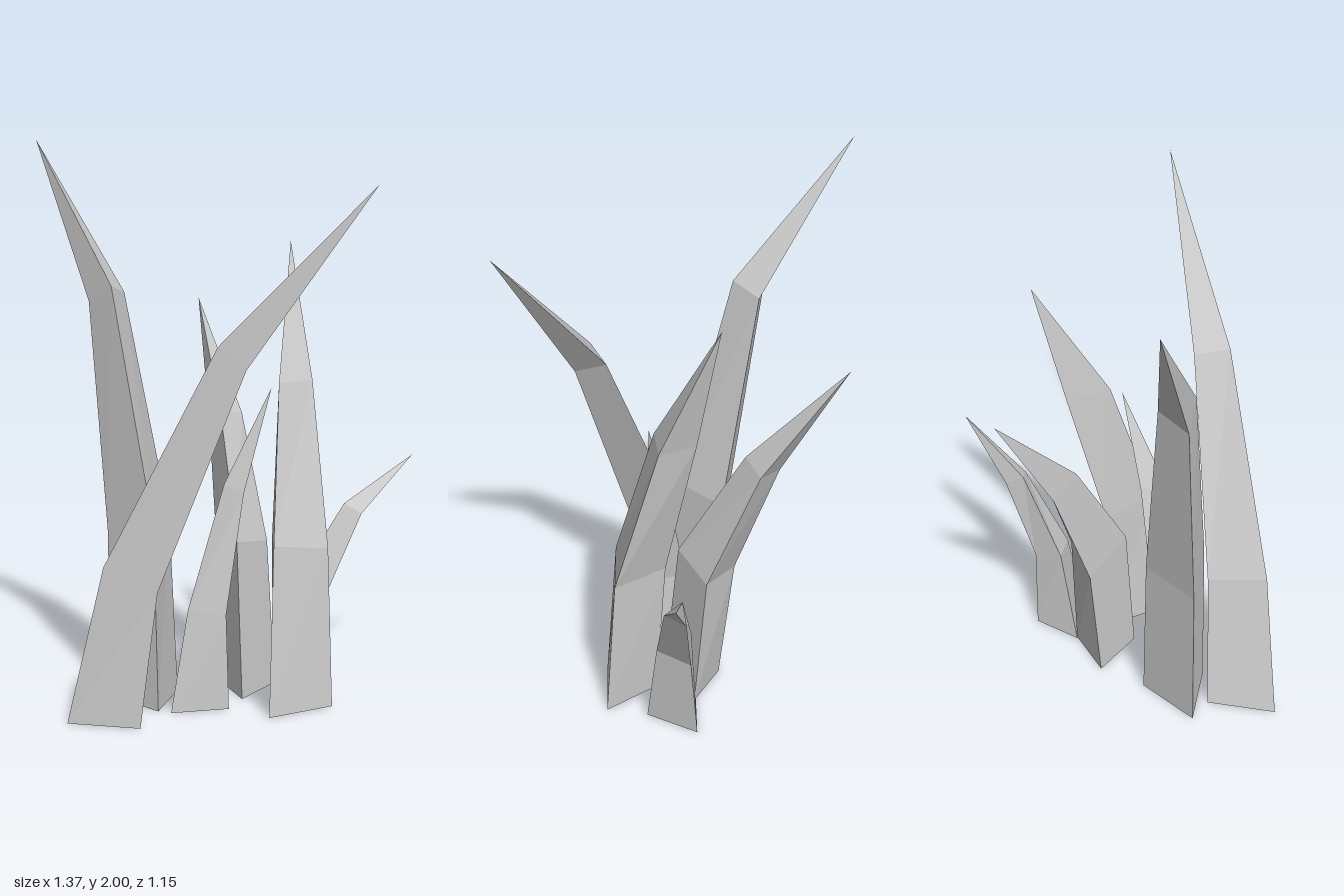
import * as THREE from 'three';

// Each blade: three rings of three corners [x, y, z], going upwards, then the tip.
const BLADES = {
  tallLeftBlade: {
    rings: [
      [[-0.49, 0, -0.06], [-0.355, 0, 0.14], [-0.24, 0, -0.07]],
      [[-0.49, 0.62, -0.08], [-0.36, 0.66, 0.11], [-0.262, 0.64, -0.09]],
      [[-0.53, 1.43, -0.18], [-0.466, 1.49, -0.08], [-0.4, 1.46, -0.19]],
    ],
    tip: [-0.67, 2, -0.47],
  },
  frontLeaningBlade: {
    rings: [
      [[-0.685, 0, 0.185], [-0.45, 0, 0.3], [-0.474, 0, 0.04]],
      [[-0.56, 0.56, 0.235], [-0.388, 0.48, 0.31], [-0.38, 0.52, 0.115]],
      [[-0.195, 1.32, 0.39], [-0.106, 1.245, 0.425], [-0.1, 1.29, 0.305]],
    ],
    tip: [0.295, 1.85, 0.575],
  },
  backBlade: {
    rings: [
      [[-0.063, 0, -0.125], [-0.035, 0, 0.085], [0.13, 0, -0.07]],
      [[-0.065, 0.51, -0.18], [-0.04, 0.57, 0.03], [0.11, 0.535, -0.11]],
      [[-0.055, 0.965, -0.34], [-0.04, 1.01, -0.217], [0.06, 0.99, -0.29]],
    ],
    tip: [-0.04, 1.4, -0.575],
  },
  uprightBlade: {
    rings: [
      [[0.007, 0, 0.305], [0.257, 0, 0.24], [0.08, 0, 0.09]],
      [[0.037, 0.6, 0.25], [0.25, 0.57, 0.2], [0.085, 0.57, 0.05]],
      [[0.1, 1.15, 0.085], [0.238, 1.15, 0.035], [0.15, 1.15, -0.08]],
    ],
    tip: [0.215, 1.635, -0.175],
  },
  smallMiddleBlade: {
    rings: [
      [[-0.315, 0, 0.17], [-0.107, 0, 0.177], [-0.21, 0, -0.01]],
      [[-0.25, 0.37, 0.162], [-0.115, 0.345, 0.172], [-0.176, 0.36, 0.035]],
      [[-0.116, 0.81, 0.15], [-0.045, 0.77, 0.148], [-0.07, 0.79, 0.075]],
    ],
    tip: [0.066, 1.14, 0.112],
  },
  shortRightBlade: {
    rings: [
      [[0.125, 0, -0.075], [0.25, 0, 0.085], [0.307, 0, -0.12]],
      [[0.21, 0.38, -0.075], [0.29, 0.345, 0.037], [0.328, 0.33, -0.1]],
      [[0.4, 0.665, -0.085], [0.45, 0.635, -0.03], [0.47, 0.615, -0.115]],
    ],
    tip: [0.68, 0.83, -0.125],
  },
};

// Skin the rings into a pointed, closed three-sided blade.
// Corners run anticlockwise seen from above.
function bladeGeometry({ rings, tip }) {
  const p = [];
  const tri = (a, b, c) => p.push(...a, ...b, ...c);
  const [a, b, c] = rings[0];
  tri(a, c, b); // underside
  for (let i = 0; i < 3; i++) {
    const j = (i + 1) % 3;
    for (let r = 0; r < 2; r++) {
      const lo = rings[r], hi = rings[r + 1];
      tri(lo[i], lo[j], hi[j]);
      tri(lo[i], hi[j], hi[i]);
    }
    tri(rings[2][i], rings[2][j], tip);
  }
  const g = new THREE.BufferGeometry();
  g.setAttribute('position', new THREE.Float32BufferAttribute(p, 3));
  g.computeVertexNormals(); // unshared corners give flat facets
  return g;
}

export function createModel() {
  const group = new THREE.Group();
  group.name = 'grassTuft';
  const grey = new THREE.MeshStandardMaterial({ color: 0xcccccc });
  grey.name = 'light grey';
  for (const [name, blade] of Object.entries(BLADES)) {
    const mesh = new THREE.Mesh(bladeGeometry(blade), grey);
    mesh.name = name;
    group.add(mesh);
  }
  return group;
}
